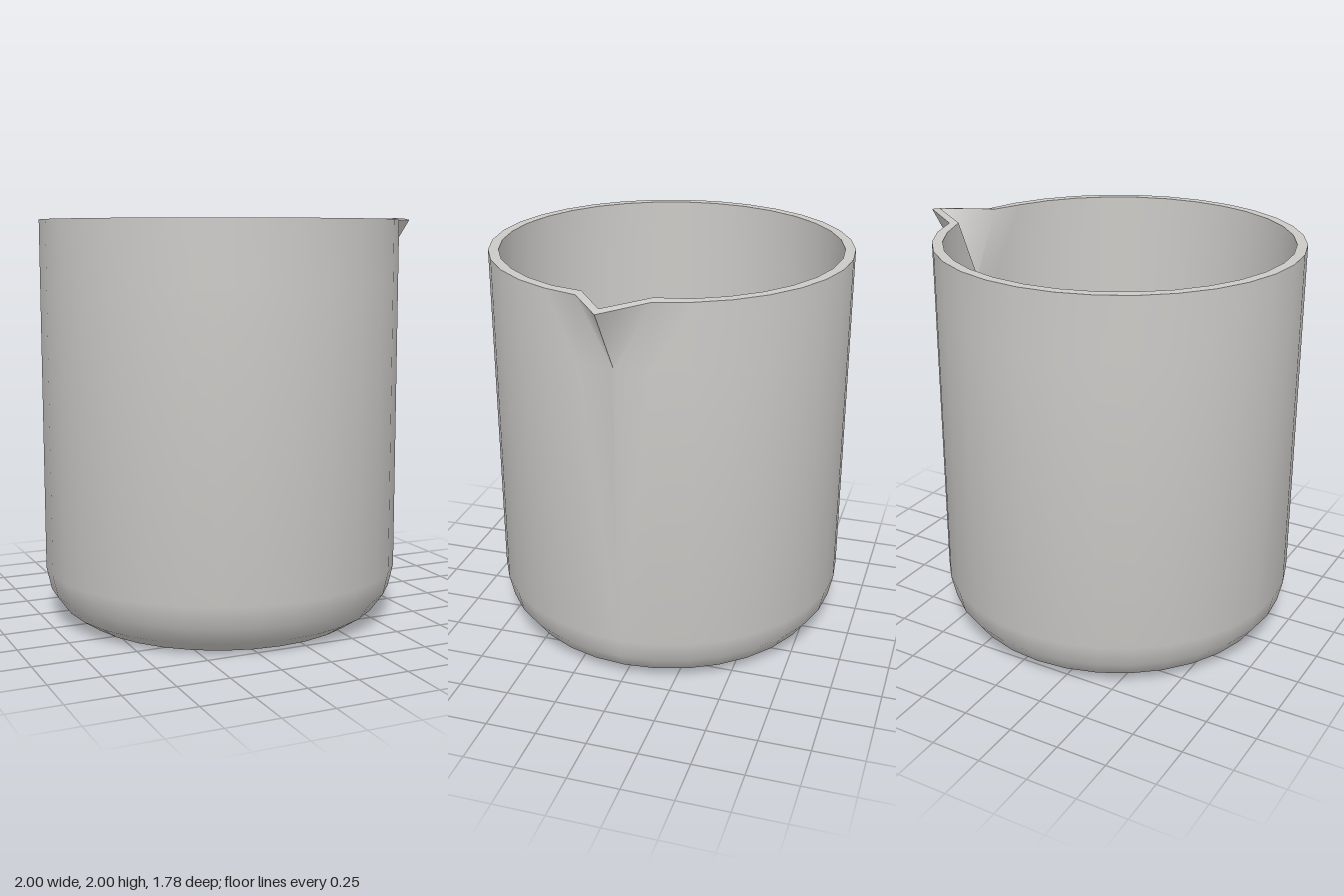
import * as THREE from 'three';
import { toCreasedNormals } from 'three/addons/utils/BufferGeometryUtils.js';

const SIDES = 32;
const CENTRE_X = -0.11;

// Rings from the foot up the outside, over the rim and down the inside.
// spout: x reach of the front vertex; lift: extra height of the spout tip and its neighbours
const RINGS = [
  { r: 0.71, y: 0 },
  { r: 0.8, y: 0.06 },
  { r: 0.865, y: 0.15 },
  { r: 0.89, y: 0.26 },
  { r: 0.89, y: 1.67 },
  { r: 0.89, y: 1.985, spout: 1.0, lift: [0.005, 0] },
  { r: 0.84, y: 1.985, spout: 0.95, lift: [0.015, 0.005] },
  { r: 0.84, y: 1.67 },
  { r: 0.835, y: 0.2 },
];
const RIM = 5;

function ringPoint(ring, i) {
  const k = i % SIDES;
  const a = (k / SIDES) * Math.PI * 2;
  const fromTip = Math.min(k, SIDES - k);
  const x = fromTip === 0 && ring.spout ? ring.spout : CENTRE_X + ring.r * Math.cos(a);
  const lift = ring.lift && fromTip < 2 ? ring.lift[fromTip] : 0;
  return [x, ring.y + lift, ring.r * Math.sin(a)];
}

// Skin the rings, mirroring the diagonals on either side of the spout
function wallGeometry() {
  const pos = [];
  for (let j = 0; j < RINGS.length - 1; j++) {
    for (let i = 0; i < SIDES; i++) {
      const a = ringPoint(RINGS[j], i);
      const b = ringPoint(RINGS[j], i + 1);
      const c = ringPoint(RINGS[j + 1], i);
      const d = ringPoint(RINGS[j + 1], i + 1);
      const forward = (i < SIDES / 2) === (j < RIM);
      const tris = forward ? [a, c, d, a, d, b] : [a, c, b, b, c, d];
      tris.forEach((p) => pos.push(...p));
    }
  }
  const geo = new THREE.BufferGeometry();
  geo.setAttribute('position', new THREE.Float32BufferAttribute(pos, 3));
  return toCreasedNormals(geo, 1.0);
}

export function createModel() {
  const group = new THREE.Group();
  group.name = 'beaker';
  const grey = new THREE.MeshStandardMaterial({ color: 0xcccac7 });
  grey.name = 'light grey';

  const add = (name, geometry) => {
    const mesh = new THREE.Mesh(geometry, grey);
    mesh.name = name;
    group.add(mesh);
    return mesh;
  };

  // Wall with rounded base, rim and pouring spout
  add('wallAndSpout', wallGeometry());

  // Flat discs closing the inside and the underside
  const floor = add('innerFloor', new THREE.CircleGeometry(0.835, SIDES).rotateX(-Math.PI / 2));
  floor.position.set(CENTRE_X, 0.2, 0);
  const base = add('base', new THREE.CircleGeometry(0.71, SIDES).rotateX(Math.PI / 2));
  base.position.set(CENTRE_X, 0, 0);

  return group;
}
